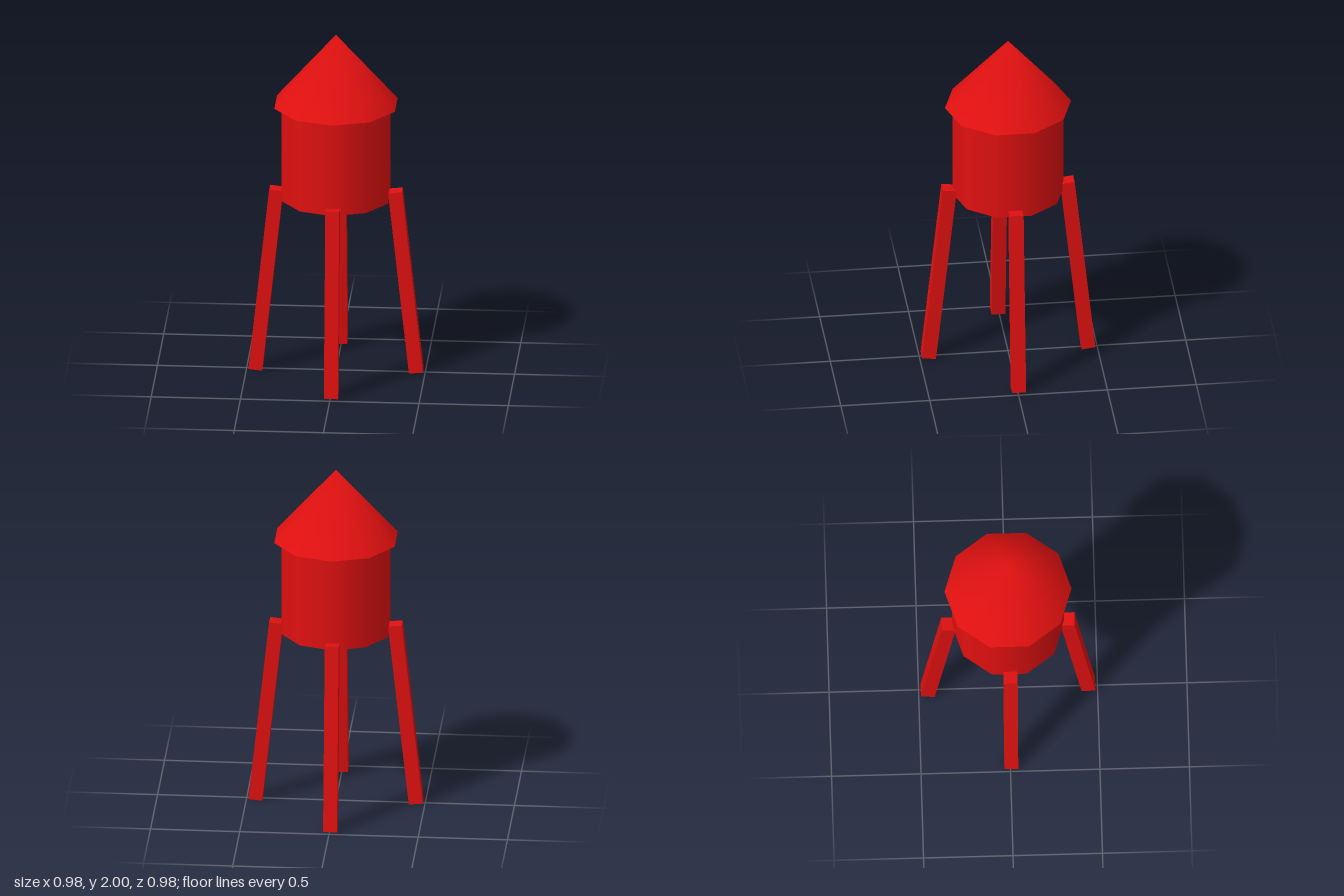
import * as THREE from 'three';

const SIDES = 10;

export function createModel() {
  const model = new THREE.Group();
  model.name = 'waterTower';
  const red = new THREE.MeshStandardMaterial({ color: 0xe01010, side: THREE.DoubleSide });

  const add = (parent, name, geometry, x, y, z) => {
    const mesh = new THREE.Mesh(geometry, red);
    mesh.name = name;
    mesh.position.set(x, y, z);
    parent.add(mesh);
    return mesh;
  };

  // Tank: smooth ten-sided wall, open at both ends
  const tankBottom = 1.035, eaves = 1.59;
  add(model, 'tank',
    new THREE.CylinderGeometry(0.313, 0.313, eaves - tankBottom, SIDES, 1, true),
    0, (tankBottom + eaves) / 2, 0);

  // Roof: overhanging cone with a flat underside and a soft tip
  const roofHeight = 2 - eaves;
  const roof = new THREE.ConeGeometry(0.355, roofHeight, SIDES);
  for (let i = 0; i <= SIDES; i++) roof.attributes.normal.setXYZ(i, 0, 1, 0);
  add(model, 'roof', roof, 0, eaves + roofHeight / 2, 0);

  // Legs: four square posts leaning inwards, repeated by quarter turns
  const legGeometry = new THREE.BoxGeometry(0.078, 1.08, 0.078);
  ['frontLeg', 'leftLeg', 'backLeg', 'rightLeg'].forEach((name, i) => {
    const pivot = new THREE.Group();
    pivot.name = name;
    pivot.rotation.y = i * Math.PI / 2;
    const leg = add(pivot, name + 'Post', legGeometry, 0.005, 0.541, 0.391);
    leg.rotation.x = -0.108;
    model.add(pivot);
  });

  return model;
}
